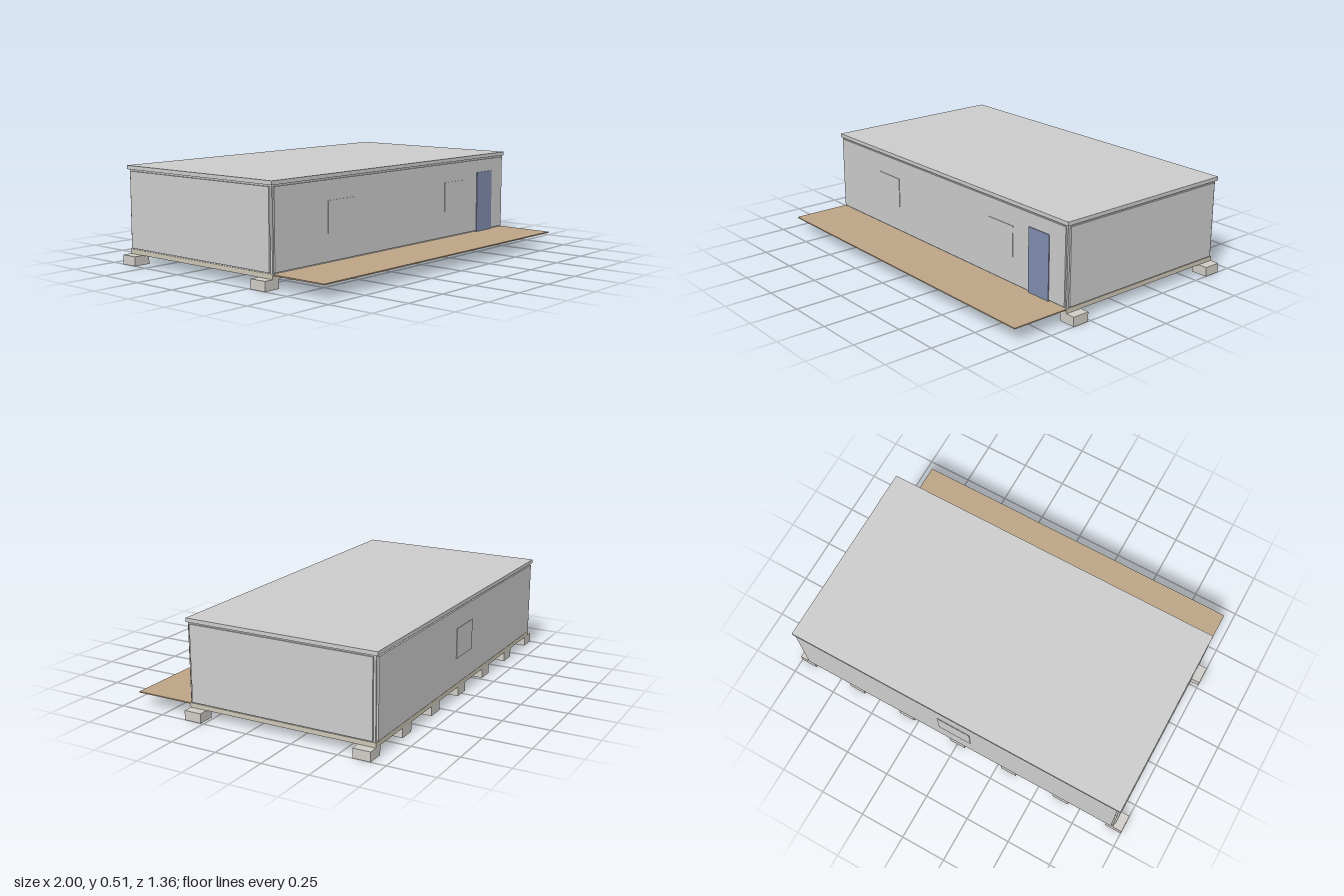
import * as THREE from 'three';

const material = (color) => new THREE.MeshStandardMaterial({ color, flatShading: true });

// Adds a box given by its min and max along each axis
function addBox(parent, name, mat, [x0, x1], [y0, y1], [z0, z1]) {
  const mesh = new THREE.Mesh(new THREE.BoxGeometry(x1 - x0, y1 - y0, z1 - z0), mat);
  mesh.position.set((x0 + x1) / 2, (y0 + y1) / 2, (z0 + z1) / 2);
  mesh.name = name;
  parent.add(mesh);
  return mesh;
}

export function createModel() {
  const model = new THREE.Group();
  model.name = 'modularBuilding';
  const grey = material(0xcccccc);
  const concrete = material(0xcfccc6);
  const floorMat = material(0xccc6b4);
  const wood = material(0xbca486);
  const blue = material(0x7f8cae);

  // Two rows of seven foundation blocks
  const foundation = new THREE.Group();
  foundation.name = 'foundation';
  for (const z of [0.313, -0.625]) {
    for (let i = -3; i <= 3; i++) {
      const x = i * 0.318;
      addBox(foundation, 'foundationBlock', concrete,
        [x - 0.046, x + 0.046], [0, 0.05], [z - 0.047, z + 0.047]);
    }
  }
  model.add(foundation);

  // Floor frame, recessed wall core and overhanging roof cap
  addBox(model, 'floorFrame', floorMat, [-0.95, 0.95], [0.05, 0.074], [-0.672, 0.36]);
  addBox(model, 'wallCore', grey, [-0.946, 0.946], [0.074, 0.492], [-0.668, 0.356]);
  addBox(model, 'roof', grey, [-0.955, 0.955], [0.49, 0.51], [-0.68, 0.365]);

  // Cladding panels, stopping short of the corners and the roof
  const panelY = [0.08, 0.482];
  addBox(model, 'frontPanel', grey, [-0.938, 0.938], panelY, [0.35, 0.364]);
  addBox(model, 'backPanel', grey, [-0.938, 0.938], panelY, [-0.678, -0.66]);
  for (const s of [-1, 1]) {
    const panelX = s > 0 ? [0.94, 0.955] : [-0.955, -0.94];
    addBox(model, 'sidePanel', grey, panelX, panelY, [-0.656, 0.344]);
  }

  // Windows: two at the front, one at the back
  for (const x of [-0.475, 0.475]) {
    addBox(model, 'frontWindow', grey, [x - 0.095, x + 0.095], [0.22, 0.38], [0.36, 0.367]);
  }
  addBox(model, 'backWindow', grey, [-0.095, 0.095], [0.22, 0.38], [-0.681, -0.67]);

  // Door at the left end of the front
  addBox(model, 'door', blue, [0.685, 0.83], [0.073, 0.412], [0.355, 0.368]);

  // Thin wooden deck along the front
  addBox(model, 'deck', wood, [-0.95, 0.95], [0.068, 0.074], [0.36, 0.68]);

  return model;
}
